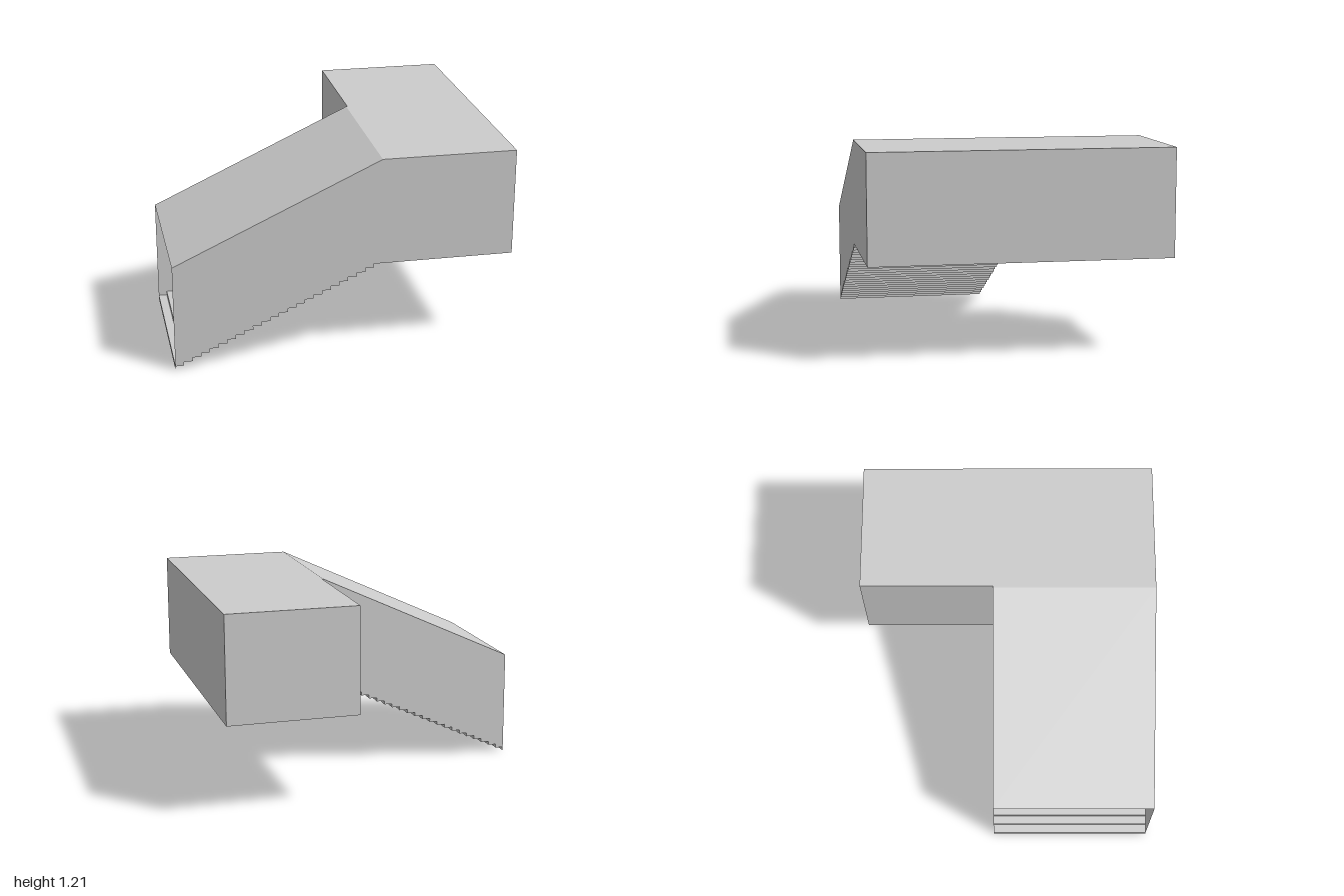
import * as THREE from 'three';

const STEPS = 24, X0 = -1, X1 = 1, FLOOR = 0.571, ROOF = 1.21, LOW_ROOF = 0.645;
const STAIR_TOP = 0.17, KNEE = 0.212, CORNER = 0.22, DEPTH = 0.885, INNER = -0.09;
const RISE = FLOOR / STEPS, TREAD = (STAIR_TOP - X0) / (STEPS - 1);

const material = new THREE.MeshStandardMaterial({ color: 0xcccccc, side: THREE.DoubleSide, flatShading: true });

export function createModel() {
  const group = new THREE.Group();
  const add = (name, geometry) => {
    const mesh = new THREE.Mesh(geometry, material);
    mesh.name = name;
    group.add(mesh);
    return mesh;
  };

  // Sheet swept along z from a path of [x, y] points
  const sheet = (name, path, zBack, zFront) => {
    const pos = [], index = [];
    path.forEach(([x, y], i) => {
      pos.push(x, y, zFront, x, y, zBack);
      const a = i * 2;
      if (i) index.push(a - 2, a, a - 1, a, a + 1, a - 1);
    });
    const g = new THREE.BufferGeometry();
    g.setAttribute('position', new THREE.Float32BufferAttribute(pos, 3));
    g.setIndex(index);
    const flat = g.toNonIndexed();
    flat.computeVertexNormals();
    return add(name, flat);
  };

  // Upright wall in the xy plane from an outline
  const wall = (name, outline, z) => {
    const shape = new THREE.Shape(outline.map(([x, y]) => new THREE.Vector2(x, y)));
    add(name, new THREE.ShapeGeometry(shape)).position.z = z;
  };

  // Zigzag of risers and treads
  const stairs = [[X0, 0]];
  for (let i = 0; i < STEPS; i++) {
    const x = X0 + i * TREAD, y = (i + 1) * RISE;
    stairs.push([x, y]);
    if (i < STEPS - 1) stairs.push([x + TREAD, y]);
  }
  sheet('stairs', stairs, INNER, DEPTH);

  // Floors
  sheet('stairHeadFloor', [[STAIR_TOP, FLOOR], [CORNER, FLOOR]], INNER, DEPTH);
  sheet('landingFloor', [[CORNER, FLOOR], [X1, FLOOR]], -DEPTH, DEPTH);

  // Roofs
  sheet('stairRoof', [[X0, LOW_ROOF], [KNEE, ROOF], [CORNER, ROOF]], INNER, DEPTH);
  sheet('landingRoof', [[CORNER, ROOF], [X1, ROOF]], -DEPTH, DEPTH);

  // Walls along x, their lower edge following the steps
  const edge = stairs.slice(1);
  const sideOutline = (xEnd) => [...edge, [xEnd, FLOOR], [xEnd, ROOF], [KNEE, ROOF], [X0, LOW_ROOF]];
  wall('frontWall', sideOutline(X1), DEPTH);
  wall('stairBackWall', sideOutline(CORNER), INNER);
  wall('landingBackWall', [[CORNER, FLOOR], [X1, FLOOR], [X1, ROOF], [CORNER, ROOF]], -DEPTH);

  // Walls along z; the low end of the stairs stays open
  sheet('landingOuterWall', [[X1, FLOOR], [X1, ROOF]], -DEPTH, DEPTH);
  sheet('landingInnerWall', [[CORNER, ROOF], [CORNER, FLOOR]], -DEPTH, INNER);

  return group;
}
